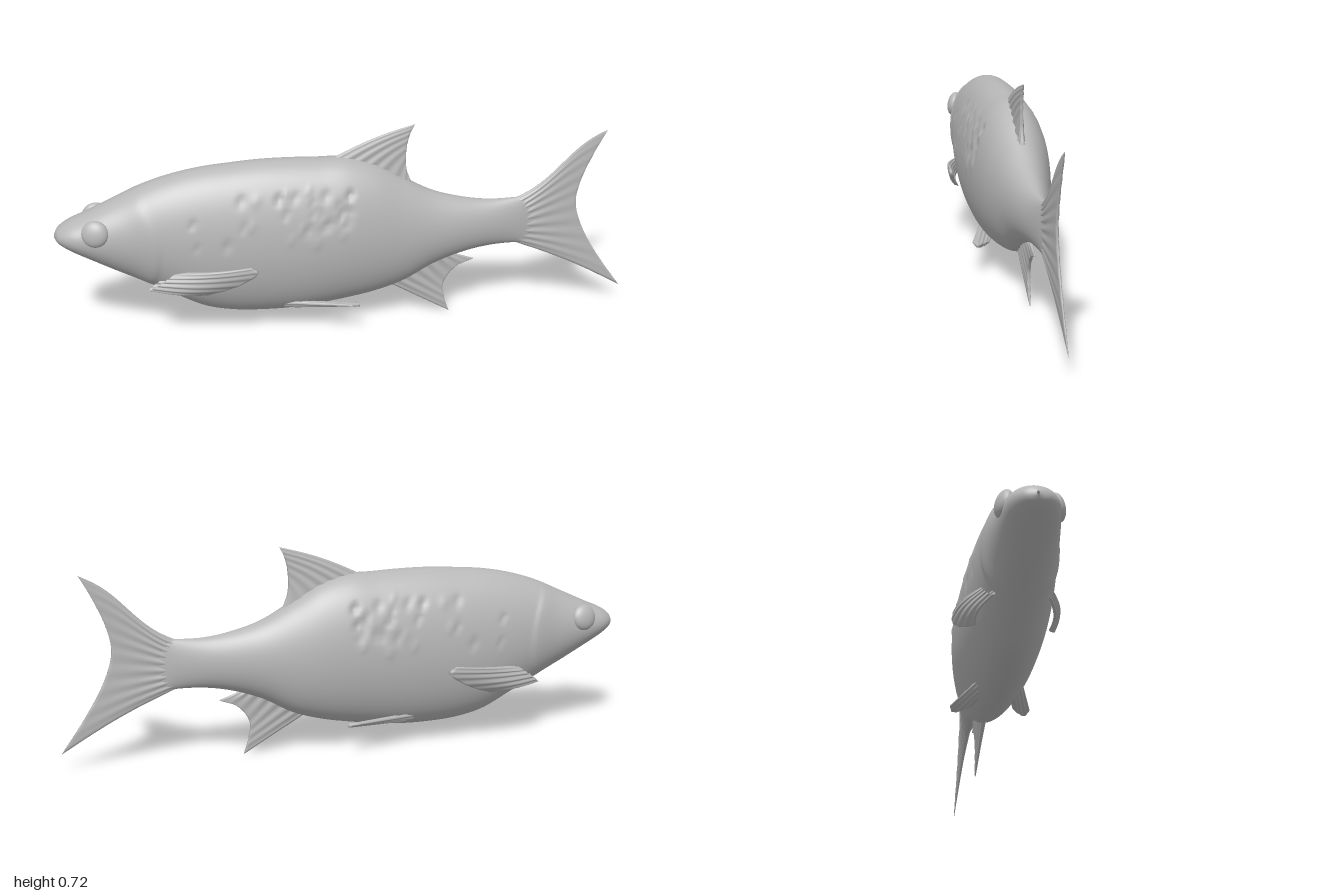
import * as THREE from 'three';

const V = (p) => new THREE.Vector3(p[0], p[1], p[2] || 0);
const spline = (pts) => new THREE.CatmullRomCurve3(pts.map(V), false, 'catmullrom', 0.5);

// Smooth skin over rows of closed loops; point(v, k) gives loop vertex k of row v
function skin(rows, cols, point) {
  const pos = [], idx = [];
  for (let i = 0; i <= rows; i++) {
    for (let k = 0; k < cols; k++) pos.push(...point(i / rows, k).toArray());
  }
  for (let i = 0; i < rows; i++) {
    for (let k = 0; k < cols; k++) {
      const a = i * cols + k, b = i * cols + (k + 1) % cols;
      idx.push(a, a + cols, b, b, a + cols, b + cols);
    }
  }
  const g = new THREE.BufferGeometry();
  g.setAttribute('position', new THREE.Float32BufferAttribute(pos, 3));
  g.setIndex(idx);
  g.computeVertexNormals();
  return g;
}

// Thin fin between a root curve and a tip curve, with faint rays.
// bulge(u, v) optionally shifts a point in the fin's plane.
function finGeometry(root, tip, normal, thickRoot, thickTip, rays, bulge) {
  const A = spline(root), B = spline(tip), n = V(normal).normalize(), N = 48;
  return skin(24, 2 * N, (v, k) => {
    const side = k < N ? 1 : -1;
    const u = (k < N ? k : 2 * N - k) / N;
    const s = Math.min(1, v * 24 / 23); // last row closes the rim
    const p = A.getPoint(u).lerp(B.getPoint(u), s);
    if (bulge) p.add(bulge(u, s));
    let h = THREE.MathUtils.lerp(thickRoot, thickTip, s) * Math.pow(Math.max(0, Math.sin(Math.PI * u)), 0.35);
    h *= 1 + 0.18 * Math.cos(u * rays * Math.PI * 2);
    if (v === 1) h = 0;
    return p.addScaledVector(n, side * h);
  });
}

// Body stations: x, top, bottom, half width
const STATIONS = [
  [-1, 0.392, 0.378, 0.004], [-0.985, 0.415, 0.36, 0.042], [-0.95, 0.438, 0.337, 0.071],
  [-0.9, 0.46, 0.308, 0.087], [-0.8, 0.507, 0.252, 0.102], [-0.7, 0.553, 0.2, 0.115],
  [-0.6, 0.585, 0.145, 0.126], [-0.5, 0.605, 0.094, 0.134], [-0.4, 0.615, 0.071, 0.139],
  [-0.3, 0.622, 0.064, 0.141], [-0.2, 0.623, 0.065, 0.141], [-0.1, 0.62, 0.075, 0.139],
  [0, 0.617, 0.09, 0.133], [0.1, 0.588, 0.11, 0.12], [0.2, 0.53, 0.143, 0.101],
  [0.3, 0.476, 0.198, 0.081], [0.4, 0.446, 0.235, 0.063], [0.5, 0.431, 0.255, 0.044],
  [0.6, 0.433, 0.259, 0.025], [0.66, 0.44, 0.25, 0.011], [0.74, 0.4, 0.3, 0.003],
];

// Small scattered pits and bumps on the flanks: x, y, radius, height
function flankMarks() {
  let seed = 11;
  const rnd = () => (seed = (seed * 16807) % 2147483647) / 2147483647;
  const marks = [];
  for (let i = 0; i < 34; i++) {
    marks.push([-0.54 + 0.54 * Math.sqrt(rnd()), 0.36 + 0.2 * rnd(), 0.009 + 0.007 * rnd(),
      (rnd() < 0.65 ? -1 : 0.6) * 0.008]);
  }
  return marks;
}

function bodyGeometry() {
  const edges = spline(STATIONS.map(([x, t, b]) => [x, t, b]));
  const widths = spline(STATIONS.map(([x, , , w]) => [x, w]));
  const marks = flankMarks(), cols = 96;
  return skin(200, cols, (v, k) => {
    const e = edges.getPoint(v), w = widths.getPoint(v).y;
    const a = (k / cols) * Math.PI * 2, c = Math.cos(a), s = Math.sin(a);
    const y = (e.y + e.z) / 2 + ((e.y - e.z) / 2) * c;
    let z = w * s;
    let lift = 0;
    // gill cover edge
    const d = e.x + 0.66 + 1.6 * (y - 0.34) ** 2;
    if (d < 0.02) lift += 0.005 * Math.exp(-((d / 0.05) ** 2)) * (1 - THREE.MathUtils.smoothstep(d, 0, 0.02));
    // mouth crease
    if (e.x < -0.9) lift -= 0.006 * Math.exp(-(((y - 0.372 - 0.45 * (e.x + 1) * -1 + 0.9 * (e.x + 1)) / 0.008) ** 2));
    for (const [mx, my, r, h] of marks) {
      const q = ((e.x - mx) ** 2 + (y - my) ** 2) / (r * r);
      if (q < 6) lift += h * Math.exp(-q);
    }
    z += Math.sign(s) * lift * Math.min(1, Math.abs(s) * 1.5) * Math.min(1, w / 0.05);
    return new THREE.Vector3(e.x, y, z);
  });
}

export function createModel() {
  const model = new THREE.Group();
  model.name = 'fish';
  const grey = new THREE.MeshStandardMaterial({ color: 0xb8b8b8, side: THREE.DoubleSide });
  grey.name = 'plain grey';
  const add = (name, geometry, parent = model) => {
    const m = new THREE.Mesh(geometry, grey);
    m.name = name;
    parent.add(m);
    return m;
  };

  add('body', bodyGeometry());

  // Fins on the centre line
  const Z = [0, 0, 1];
  add('dorsalFin', finGeometry(
    [[-0.07, 0.605], [0.02, 0.59], [0.11, 0.56], [0.2, 0.51], [0.235, 0.495]],
    [[0.235, 0.725], [0.218, 0.69], [0.207, 0.64], [0.207, 0.57], [0.228, 0.508]],
    Z, 0.015, 0.005, 8, (u, s) => new THREE.Vector3(0, 0.012 * Math.sin(Math.PI * s) * (1 - u), 0)));
  add('analFin', finGeometry(
    [[0.14, 0.135], [0.2, 0.16], [0.27, 0.2], [0.33, 0.23], [0.37, 0.235]],
    [[0.37, 0.003], [0.352, 0.06], [0.348, 0.12], [0.39, 0.178], [0.455, 0.205]],
    Z, 0.014, 0.005, 7));
  add('tailFin', finGeometry(
    [[0.6, 0.432], [0.6, 0.405], [0.6, 0.375], [0.6, 0.345], [0.6, 0.315], [0.6, 0.287], [0.6, 0.26]],
    [[0.915, 0.67], [0.872, 0.59], [0.83, 0.49], [0.815, 0.4], [0.845, 0.3], [0.91, 0.185], [0.995, 0.063]],
    Z, 0.016, 0.004, 10,
    (u, s) => new THREE.Vector3(0, Math.sin(Math.PI * 2 * s) * -0.014 * Math.max(0, 1 - 3 * u)
      + Math.sin(Math.PI * s) * 0.012 * Math.max(0, 3 * u - 2), 0)));

  // Paired fins and eyes, mirrored across the centre line
  const pectoral = finGeometry(
    [[-0.69, 0.2, 0.085], [-0.66, 0.225, 0.095], [-0.63, 0.25, 0.102], [-0.6, 0.27, 0.108]],
    [[-0.5, 0.183, 0.118], [-0.4, 0.225, 0.146], [-0.325, 0.275, 0.165], [-0.345, 0.303, 0.17]],
    [-0.25, -0.42, 0.9], 0.012, 0.006, 5,
    (u, s) => new THREE.Vector3(0, 0, 0.016 * Math.sin(Math.PI * s)));
  const pelvic = finGeometry(
    [[-0.25, 0.115, 0.07], [-0.21, 0.105, 0.066], [-0.17, 0.098, 0.06], [-0.13, 0.095, 0.05]],
    [[0.0, 0.118, 0.137], [0.03, 0.112, 0.122], [-0.01, 0.102, 0.095], [-0.06, 0.095, 0.068]],
    [0, 0.93, -0.35], 0.011, 0.006, 4);
  const eye = new THREE.SphereGeometry(0.046, 32, 20).scale(1, 1, 0.55).rotateY(-0.2).rotateX(-0.2);
  for (const side of [1, -1]) {
    const pair = new THREE.Group();
    pair.name = side > 0 ? 'frontSideParts' : 'backSideParts';
    pair.scale.z = side;
    add('pectoralFin', pectoral, pair);
    add('pelvicFin', pelvic, pair);
    add('eye', eye, pair).position.set(-0.86, 0.42, 0.082);
    model.add(pair);
  }
  return model;
}
